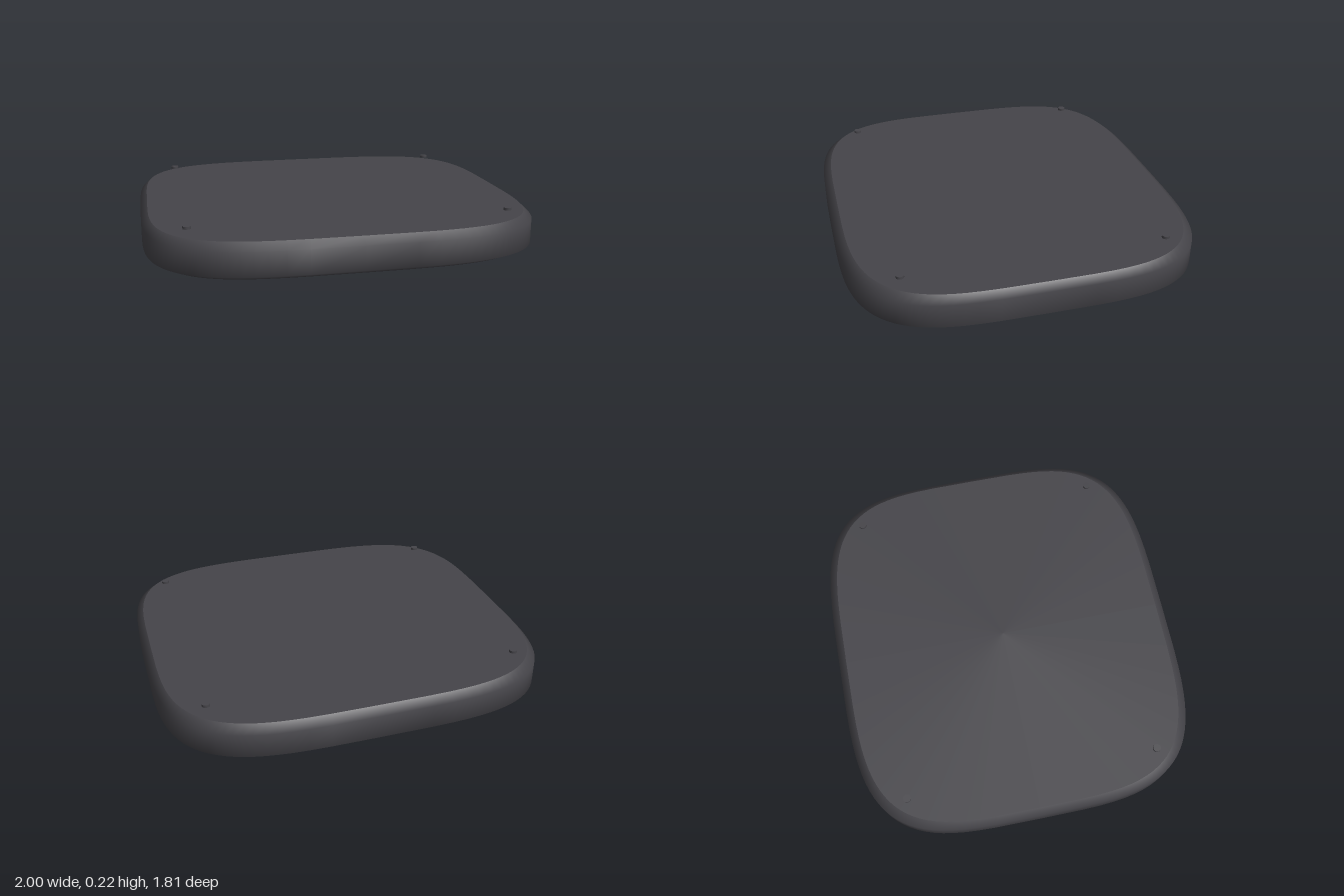
import * as THREE from 'three';

const SEGMENTS = 96;
const HALF_X = 1, HALF_Z = 0.905;

// Lofts squircle rings, each given as [y, x scale, z scale], from outside bottom to top
function loftSquircle(rings) {
  const positions = [], index = [];
  const soften = (v) => Math.sign(v) * Math.sqrt(Math.abs(v));
  for (const [y, sx, sz] of rings) {
    for (let i = 0; i < SEGMENTS; i++) {
      const a = (i / SEGMENTS) * Math.PI * 2;
      positions.push(HALF_X * sx * soften(Math.cos(a)), y, HALF_Z * sz * soften(Math.sin(a)));
    }
  }
  for (let r = 0; r < rings.length - 1; r++) {
    for (let i = 0; i < SEGMENTS; i++) {
      const j = (i + 1) % SEGMENTS;
      const a = r * SEGMENTS + i, b = r * SEGMENTS + j;
      const c = a + SEGMENTS, d = b + SEGMENTS;
      if (rings[r][1] > 0) index.push(a, c, b);
      if (rings[r + 1][1] > 0) index.push(b, c, d);
    }
  }
  const geometry = new THREE.BufferGeometry();
  geometry.setAttribute('position', new THREE.Float32BufferAttribute(positions, 3));
  geometry.setIndex(index);
  geometry.computeVertexNormals();
  return geometry;
}

export function createModel() {
  const group = new THREE.Group();
  const charcoal = new THREE.MeshStandardMaterial({ color: 0x454449 });
  charcoal.name = 'charcoal';

  const add = (name, geometry) => {
    const mesh = new THREE.Mesh(geometry, charcoal);
    mesh.name = name;
    group.add(mesh);
    return mesh;
  };

  // Body shell: underside, lower bevel, wall and upper bevel
  add('body', loftSquircle([
    [0, 0, 0],
    [0, 0.9, 0.88],
    [0, 0.955, 0.935],
    [0.03, 1, 1],
    [0.15, 1, 1],
    [0.185, 0.965, 0.953],
  ]));

  // Flat top, with a crisp edge against the bevel
  add('topPanel', loftSquircle([
    [0.185, 0.965, 0.953],
    [0.185, 0, 0],
  ]));

  // Four small studs hovering just above the corners
  const studGeometry = new THREE.CylinderGeometry(0.02, 0.02, 0.013, 16);
  for (const x of [-0.79, 0.79]) {
    for (const z of [-0.655, 0.655]) {
      const side = x > 0 ? 'Left' : 'Right';
      add((z > 0 ? 'front' : 'back') + side + 'Stud', studGeometry).position.set(x, 0.2135, z);
    }
  }
  return group;
}
